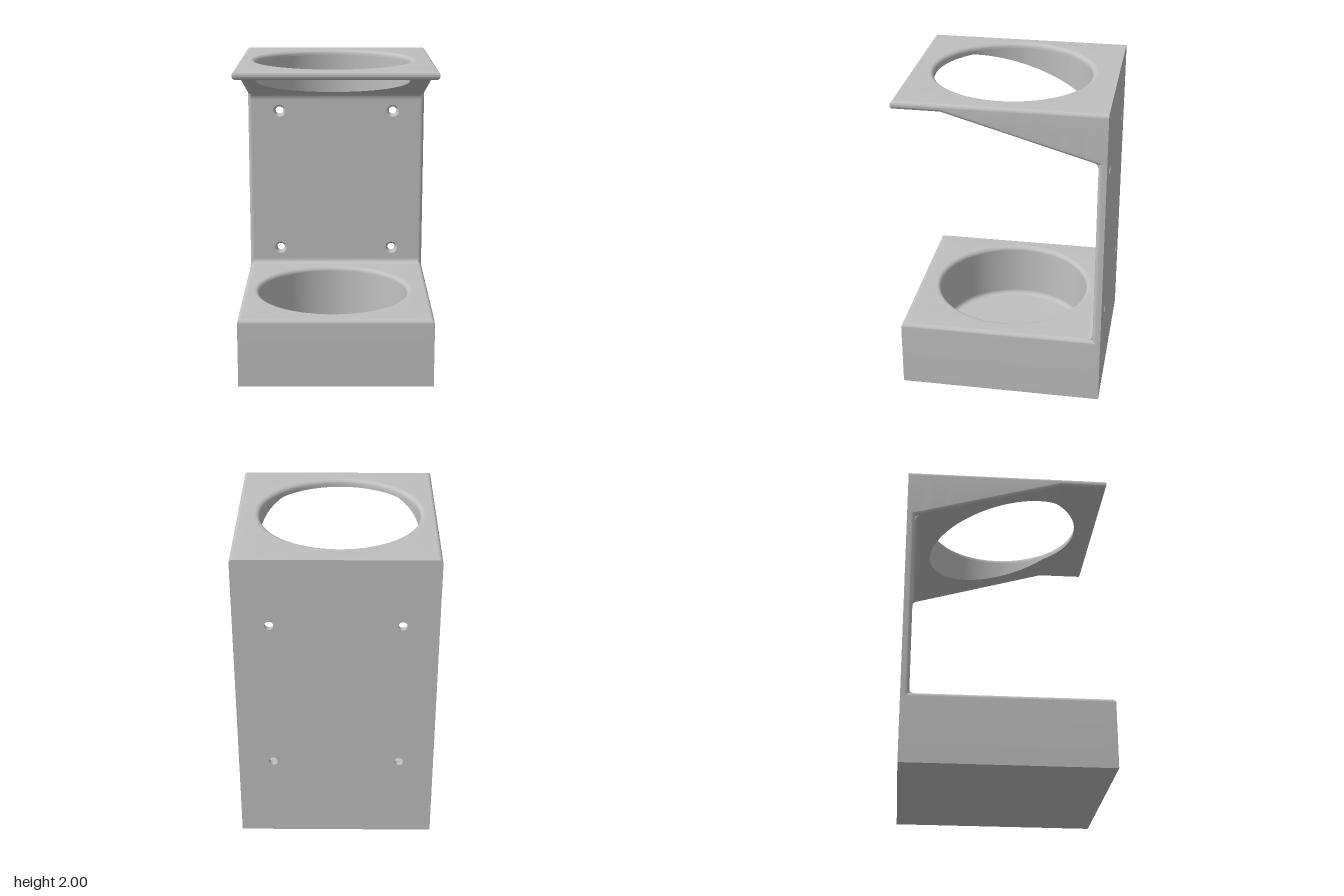
import * as THREE from 'three';
import { toCreasedNormals } from 'three/addons/utils/BufferGeometryUtils.js';

const W = 0.62, D = 0.65;                 // half width, half depth
const CX = -0.02, CZ = 0.013, R = 0.5;    // round opening
const PANEL_Z = -0.597, BASE_TOP = 0.445, TOP = 2;
const SEG = 128, STEPS = 6, EPS = 0.003;

const grey = new THREE.MeshStandardMaterial({ color: 0xbfbfbf });
grey.name = 'grey plastic';

// Sloped underside of the upper holder, flat towards the front lip
const KINK = 0.347, SLOPE = 0.288;
const under = (z) => 1.95 - SLOPE * Math.max(0, KINK - z);

// Point on the rectangle (inset on the sides and front only) or on the circle
function rectPoint(a, d) {
  const c = Math.cos(a), s = Math.sin(a), m = Math.max(Math.abs(c), Math.abs(s));
  return [THREE.MathUtils.clamp(c / m * W, d - W, W - d), Math.min(s / m * D, D - d)];
}
const circlePoint = (a, r) => [CX + r * Math.cos(a), CZ + r * Math.sin(a)];

// A layer is a closed loop; its height is a number or a function of z
const layer = (point, y) => (a) => {
  const [x, z] = point(a);
  return [x, typeof y === 'function' ? y(z) : y, z];
};
const rect = (d, y) => layer((a) => rectPoint(a, d), y);
const circle = (r, y) => layer((a) => circlePoint(a, r), y);

// Skin a list of layers
function skin(layers) {
  const pos = [], index = [], n = SEG + 1;
  layers.forEach((f, j) => {
    for (let i = 0; i <= SEG; i++) {
      pos.push(...f((i % SEG) / SEG * Math.PI * 2));
      if (j && i < SEG) {
        const a = (j - 1) * n + i, b = j * n + i;
        index.push(a, b, a + 1, a + 1, b, b + 1);
      }
    }
  });
  const g = new THREE.BufferGeometry();
  g.setAttribute('position', new THREE.Float32BufferAttribute(pos, 3));
  g.setIndex(index);
  return toCreasedNormals(g, 0.5);
}

// Quarter-round steps, as sine and cosine pairs
const quarter = Array.from({ length: STEPS + 1 }, (_, k) => {
  const t = k / STEPS * Math.PI / 2;
  return [Math.sin(t), Math.cos(t)];
});

// Rounded outer top edge, flat top and rounded rim of the opening
function topLayers(y, r, rim) {
  return [
    rect(0, y - r - EPS),
    ...quarter.map(([s, c]) => rect(r * (1 - c), y - r + r * s)),
    rect(r + EPS, y),
    circle(R + rim + EPS, y),
    ...quarter.map(([s, c]) => circle(R + rim * (1 - s), y - rim + rim * c)),
    circle(R, y - rim - EPS),
  ];
}

function baseGeometry() {
  const floor = 0.055, f = 0.03;
  return skin([
    circle(0, 0), rect(0, 0),
    ...topLayers(BASE_TOP, 0.025, 0.03),
    circle(R, floor + f + EPS),
    ...quarter.map(([s, c]) => circle(R - f * (1 - c), floor + f - f * s)),
    circle(R - f - EPS, floor), circle(0, floor),
  ]);
}

function upperGeometry() {
  const r = 0.022, n = 14;
  const underside = Array.from({ length: n + 1 }, (_, k) => layer((a) => {
    const p = circlePoint(a, R), q = rectPoint(a, r + EPS);
    return [0, 1].map((i) => THREE.MathUtils.lerp(p[i], q[i], k / n));
  }, under));
  return skin([
    ...underside,
    ...quarter.map(([s, c]) => rect(r * (1 - s), (z) => under(z) + r * (1 - c))),
    rect(0, (z) => under(z) + r + 0.002),
    ...topLayers(TOP, r, 0.03),
    circle(R, under),
  ]);
}

export function createModel() {
  const model = new THREE.Group();
  model.name = 'wallHolder';
  const add = (name, geometry, x = 0, y = 0, z = 0) => {
    const mesh = new THREE.Mesh(geometry, grey);
    mesh.name = name;
    mesh.position.set(x, y, z);
    model.add(mesh);
  };

  add('baseCup', baseGeometry());
  add('upperRing', upperGeometry());

  // Back panel with four screw holes
  const y0 = 0.415, y1 = 1.7, r = 0.025, depth = PANEL_Z + D, hole = 0.043;
  const holes = [-0.4, 0.4].flatMap((x) => [0.56, 1.56].map((y) => [x, y]));
  const e = W - r;
  const panel = new THREE.Shape([[-e, y0], [e, y0], [e, y1], [-e, y1]].map((p) => new THREE.Vector2(...p)));
  holes.forEach(([x, y]) => panel.holes.push(new THREE.Path().absarc(x, y, hole, 0, Math.PI * 2, true)));
  add('backPanel', new THREE.ExtrudeGeometry(panel, { depth, bevelEnabled: false, curveSegments: 16 }), 0, 0, -D);

  // Countersunk bores
  const bore = [[hole, depth], [0.035, depth - 0.005], [0.029, depth - 0.016], [0.028, 0.03], [0.028, 0], [hole, 0]]
    .map((p) => new THREE.Vector2(...p));
  holes.forEach(([x, y]) => {
    const g = new THREE.LatheGeometry(bore, 32).rotateX(Math.PI / 2);
    add('screwHole', toCreasedNormals(g, 0.7), x, y, -D);
  });

  // Rounded side edges of the panel
  for (const side of [-1, 1]) {
    const s = new THREE.Shape();
    s.moveTo(side * e, D);
    s.lineTo(side * W, D);
    s.lineTo(side * W, -PANEL_Z + r);
    quarter.forEach(([sn, c]) => s.lineTo(side * (e + r * c), -PANEL_Z + r - r * sn));
    s.closePath();
    const g = new THREE.ExtrudeGeometry(s, { depth: y1 - y0, bevelEnabled: false }).rotateX(-Math.PI / 2);
    add('panelEdge', toCreasedNormals(g, 0.5), 0, y0, 0);
  }

  // Inner fillets where the panel meets the base and the upper ring
  const f = 0.035, half = W - 0.02;
  const fillet = (corner, end, dir) => {
    const s = new THREE.Shape();
    s.moveTo(PANEL_Z - 0.01, corner - dir * 0.01);
    s.lineTo(PANEL_Z - 0.01, corner + dir * f);
    s.lineTo(PANEL_Z, corner + dir * f);
    s.quadraticCurveTo(PANEL_Z, corner, PANEL_Z + f, end);
    s.lineTo(PANEL_Z + f, end - dir * 0.01);
    s.closePath();
    const g = new THREE.ExtrudeGeometry(s, { depth: 2 * half, bevelEnabled: false, curveSegments: 8 });
    add('fillet', toCreasedNormals(g.rotateY(-Math.PI / 2), 0.5), half, 0, 0);
  };
  fillet(BASE_TOP, BASE_TOP, 1);
  fillet(under(PANEL_Z), under(PANEL_Z + f), -1);

  return model;
}
